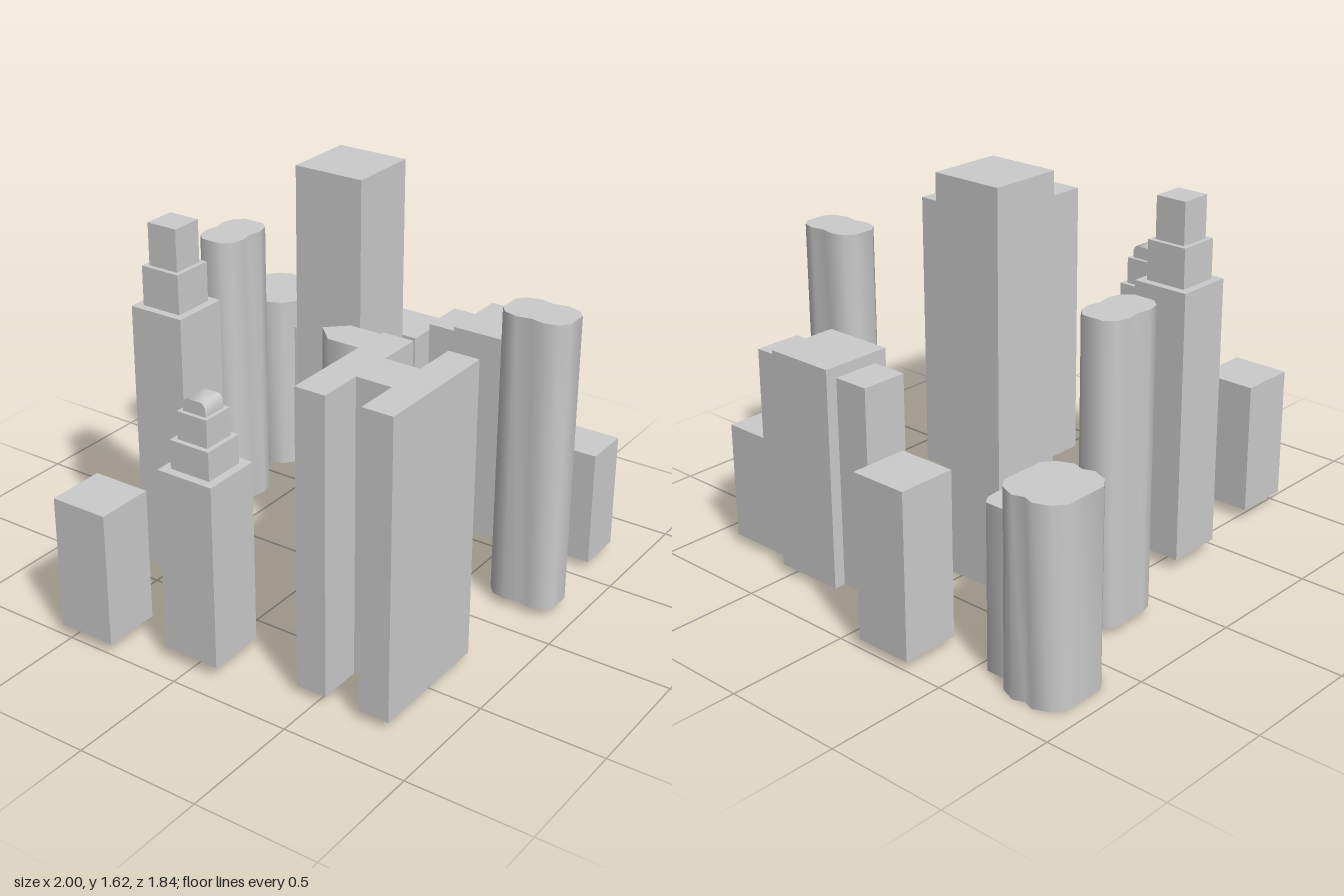
import * as THREE from 'three';
import { toCreasedNormals } from 'three/addons/utils/BufferGeometryUtils.js';

const material = new THREE.MeshStandardMaterial({ color: 0xcccccc });
const BASE = 0.035;
const CREASE = 1.0;

function addMesh(parent, name, geometry) {
  const mesh = new THREE.Mesh(geometry, material);
  mesh.name = name;
  parent.add(mesh);
  return mesh;
}

// Block from its x, y and z extents
function block(parent, name, [x0, x1], [y0, y1], [z0, z1]) {
  const mesh = addMesh(parent, name, new THREE.BoxGeometry(x1 - x0, y1 - y0, z1 - z0));
  mesh.position.set((x0 + x1) / 2, (y0 + y1) / 2, (z0 + z1) / 2);
  return mesh;
}

function extrude(points, depth) {
  const shape = new THREE.Shape(points.map(([x, y]) => new THREE.Vector2(x, y)));
  return new THREE.ExtrudeGeometry(shape, { depth, bevelEnabled: false });
}

// Tower raised from a floor plan given as [x, z] around its own centre
function planTower(parent, name, plan, x, z, y0, y1) {
  const geometry = extrude(plan.map(([px, pz]) => [px, -pz]), y1 - y0).rotateX(-Math.PI / 2);
  const mesh = addMesh(parent, name, toCreasedNormals(geometry, CREASE));
  mesh.position.set(x, y0, z);
  return mesh;
}

// Square tower with setbacks; tiers are [half width, top]
function steppedTower(parent, name, x, z, y0, tiers) {
  const group = new THREE.Group();
  group.name = name;
  let bottom = y0;
  tiers.forEach(([h, top], i) => {
    block(group, `tier${i + 1}`, [x - h, x + h], [bottom, top], [z - h, z + h]);
    bottom = top;
  });
  parent.add(group);
  return group;
}

// Mirror one quadrant, listed from the +x side to the +z side, into a full plan
function mirrorPlan(quarter) {
  const reversed = [...quarter].reverse();
  const plan = [
    ...quarter,
    ...reversed.map(([x, z]) => [-x, z]),
    ...quarter.map(([x, z]) => [-x, -z]),
    ...reversed.map(([x, z]) => [x, -z]),
  ];
  // drop doubled points on the axes
  return plan.filter(([x, z], i) => {
    const [nx, nz] = plan[(i + 1) % plan.length];
    return Math.hypot(nx - x, nz - z) > 1e-6;
  });
}

export function createModel() {
  const city = new THREE.Group();
  city.name = 'cityBlocks';

  // Plain rectangular towers
  block(city, 'tallTower', [0.105, 0.405], [BASE, 1.62], [-0.24, 0.06]);
  block(city, 'lowTowerLeft', [0.757, 0.997], [BASE, 0.70], [-0.34, -0.10]);
  block(city, 'lowTowerRight', [-1, -0.762], [0.045, 0.59], [-0.54, -0.30]);

  // Towers with setbacks
  steppedTower(city, 'steppedTowerBack', -0.337, -0.482, 0.05,
    [[0.118, 1.15], [0.086, 1.31], [0.066, 1.48]]);
  const crowned = steppedTower(city, 'steppedTowerSide', -0.78, 0, 0.05,
    [[0.12, 0.795], [0.086, 0.91], [0.066, 1.02]]);

  // Rounded crown on the side tower
  const crown = extrude([[-0.05, 0], [0.05, 0], [0.05, 0.035], [0.035, 0.052],
    [-0.035, 0.052], [-0.05, 0.035]], 0.1).translate(0, 0, -0.05).rotateY(Math.PI / 2);
  addMesh(crowned, 'crown', toCreasedNormals(crown, CREASE)).position.set(-0.78, 1.02, 0);

  // H-plan slab
  planTower(city, 'hPlanTower',
    mirrorPlan([[0.088, 0], [0.088, 0.072], [0.268, 0.072], [0.268, 0.197]]),
    -0.533, 0.608, BASE, 1.23);

  // Six-sided tower
  planTower(city, 'hexTower', mirrorPlan([[0.075, 0.077], [0, 0.156]]),
    -0.075, 0.166, BASE, 1.08);

  // Two lobed towers sharing one plan, the second turned a quarter
  const lobed = mirrorPlan([[0.14, 0.045], [0.11, 0.08], [0.055, 0.095], [0, 0.083]]);
  planTower(city, 'lobedTowerBack', lobed, 0.225, -0.645, BASE, 1.23);
  planTower(city, 'lobedTowerFront', lobed, 0.225, 0.778, BASE, 1.23).rotation.y = Math.PI / 2;

  // Wide lobed tower with a rounded annex
  const wide = mirrorPlan([[0.145, 0], [0.161, 0.045], [0.135, 0.108], [0.09, 0.142]]);
  planTower(city, 'wideLobedTower', wide, 0.724, -0.784, 0, 0.78);
  planTower(city, 'roundedAnnex',
    [[-0.085, -0.01], [0.085, -0.01], [0.085, 0.093], [0.052, 0.117],
      [0, 0.122], [-0.052, 0.117], [-0.085, 0.093]],
    0.72, -0.642, 0, 0.66);

  // Terraced complex stepping down to the front
  const terrace = new THREE.Group();
  terrace.name = 'terracedComplex';
  block(terrace, 'mainBlock', [0.505, 0.803], [BASE, 0.93], [0.24, 0.537]);
  block(terrace, 'rearWing', [0.56, 0.755], [BASE, 0.885], [0.09, 0.24]);
  block(terrace, 'frontWing', [0.56, 0.755], [BASE, 0.885], [0.537, 0.675]);
  block(terrace, 'lowWing', [0.56, 0.755], [BASE, 0.515], [0.675, 0.867]);
  city.add(terrace);

  return city;
}
